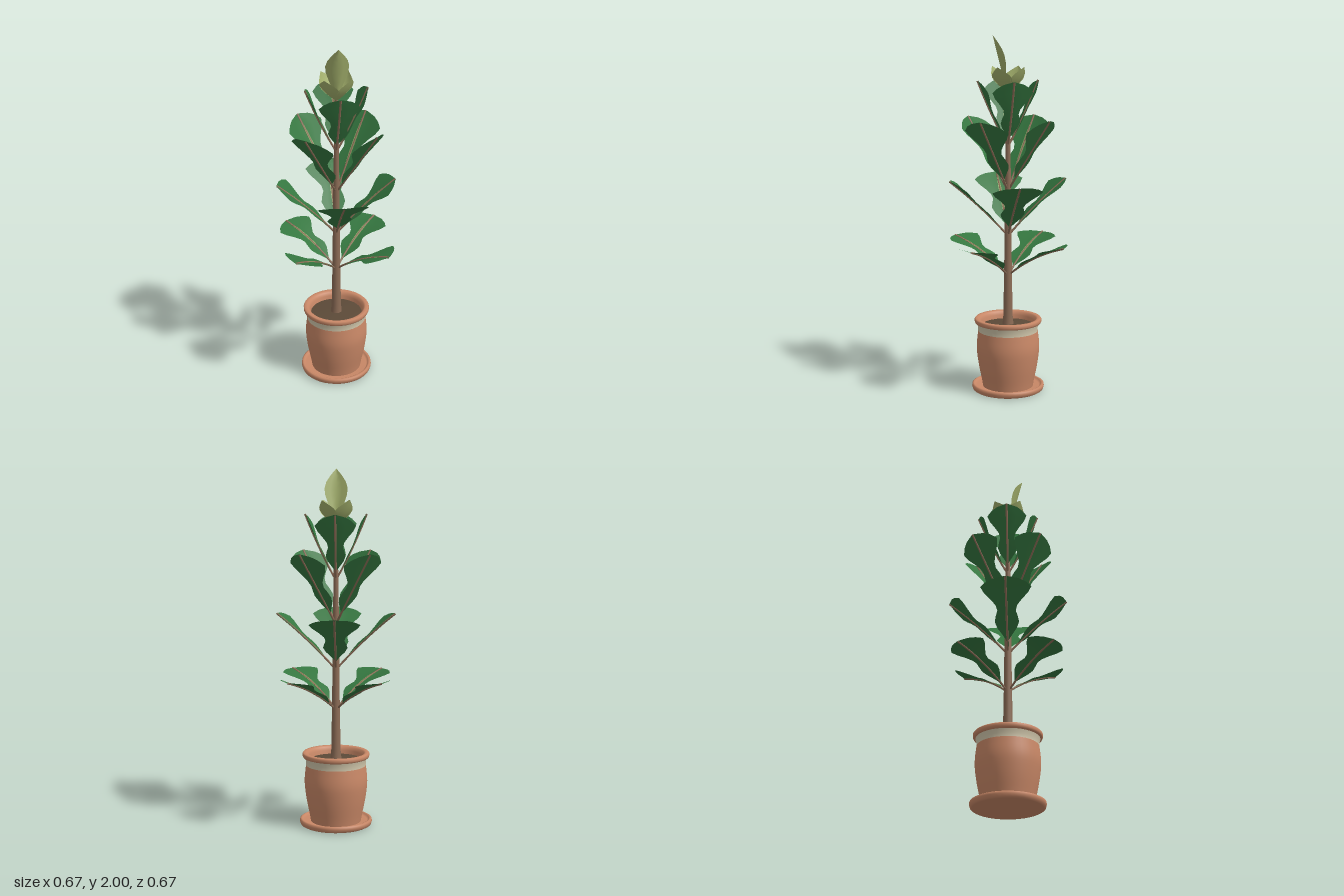
import * as THREE from 'three';

const mat = (name, color, side = THREE.FrontSide) => {
  const m = new THREE.MeshStandardMaterial({ color, side });
  m.name = name;
  return m;
};

// Outlines as [position along leaf, half width]
const FIDDLE = [[0, 0.04], [0.15, 0.05], [0.22, 0.2], [0.3, 0.38], [0.38, 0.48], [0.46, 0.43], [0.53, 0.36],
  [0.6, 0.42], [0.68, 0.62], [0.76, 0.86], [0.84, 1], [0.91, 0.78], [0.96, 0.5], [1, 0.05]];
const OVAL = [[0, 0.1], [0.15, 0.3], [0.35, 0.65], [0.52, 0.93], [0.64, 1], [0.76, 0.84], [0.88, 0.48], [1, 0.02]];
const VEIN = [[0.18, 0.15], [0.3, 0.5], [0.45, 0.85], [0.6, 1], [0.75, 0.9], [0.9, 0.5], [0.99, 0.05]];

// Blade swept along a spine of [radius, height] points, pointing towards +z
function bladeGeometry(spine, outline, halfWidth, cup, lift = 0) {
  const curve = new THREE.QuadraticBezierCurve(...spine.map(p => new THREE.Vector2(...p)));
  const across = [-1, -0.5, 0, 0.5, 1];
  const pos = [], index = [], n = across.length;
  outline.forEach(([t, w], i) => {
    const p = curve.getPoint(t), d = curve.getTangent(t);
    for (const s of across) {
      const x = s * w * halfWidth;
      const up = Math.abs(x) * cup + lift;
      pos.push(x, p.y + d.x * up, p.x - d.y * up);
    }
    if (i === 0) return;
    for (let j = 0; j < n - 1; j++) {
      const a = (i - 1) * n + j, b = a + n;
      index.push(a, b, a + 1, b, b + 1, a + 1);
    }
  });
  const g = new THREE.BufferGeometry();
  g.setAttribute('position', new THREE.Float32BufferAttribute(pos, 3));
  g.setIndex(index);
  g.computeVertexNormals();
  return g;
}

export function createModel() {
  const root = new THREE.Group();
  root.name = 'pottedPlant';
  const terracotta = mat('terracotta', 0xc98867);
  const cream = mat('creamBand', 0xd2c8ac);
  const soilMat = mat('soil', 0x5c4a38);
  const bark = mat('bark', 0x8c6c56);
  const green = mat('leafGreen', 0x357740, THREE.DoubleSide);
  const pale = mat('leafVein', 0x8fa565, THREE.DoubleSide);
  const olive = mat('youngLeaf', 0xa3b06c, THREE.DoubleSide);

  const add = (name, geometry, material, parent = root) => {
    const m = new THREE.Mesh(geometry, material);
    m.name = name;
    parent.add(m);
    return m;
  };
  const lathe = (pts, seg = 40) => new THREE.LatheGeometry(pts.map(p => new THREE.Vector2(...p)), seg);

  // Saucer
  add('saucer', lathe([[0, 0], [0.19, 0], [0.2, 0.006], [0.205, 0.022], [0.203, 0.034], [0.195, 0.038],
    [0.186, 0.034], [0.178, 0.022], [0, 0.02]]), terracotta);

  // Pot body, painted band and rolled rim
  const body = new THREE.SplineCurve([[0.142, 0.02], [0.149, 0.06], [0.165, 0.14], [0.176, 0.22], [0.177, 0.27],
    [0.172, 0.32], [0.169, 0.345]].map(p => new THREE.Vector2(...p)));
  add('potBody', new THREE.LatheGeometry(body.getPoints(18), 40), terracotta);
  add('potBand', lathe([[0.169, 0.345], [0.169, 0.365], [0.175, 0.388]]), cream);
  add('potRim', lathe([[0.175, 0.388], [0.185, 0.391], [0.189, 0.4], [0.189, 0.412], [0.184, 0.418],
    [0.168, 0.418], [0.158, 0.412], [0.15, 0.395], [0.145, 0.36]]), terracotta);
  const soil = add('soil', lathe([[0.15, 0.374], [0.09, 0.38], [0, 0.384]]), soilMat);
  soil.material.side = THREE.DoubleSide;

  // Trunk
  add('trunk', lathe([[0.033, 0.37], [0.027, 0.43], [0.022, 0.7], [0.018, 1.1], [0.013, 1.45], [0.009, 1.74],
    [0, 1.75]], 14), bark);

  // Four tiers of four leaves, every other tier turned by 45 degrees
  const tiers = [
    { turn: 0.5, spine: [[0.01, 0.67], [0.17, 0.8], [0.365, 0.855]], width: 0.13 },
    { turn: 0, spine: [[0.01, 0.9], [0.16, 1.07], [0.33, 1.205]], width: 0.14 },
    { turn: 0.5, spine: [[0.01, 1.16], [0.13, 1.34], [0.27, 1.545]], width: 0.14 },
    { turn: 0, spine: [[0.005, 1.4], [0.09, 1.55], [0.17, 1.755]], width: 0.112 },
  ];
  tiers.forEach(({ turn, spine, width }, k) => {
    const tier = new THREE.Group();
    tier.name = `leafTier${k + 1}`;
    const blade = bladeGeometry(spine, FIDDLE, width, 0.12);
    const vein = bladeGeometry(spine, VEIN, 0.009, 0.12, 0.003);
    const stalk = new THREE.TubeGeometry(new THREE.QuadraticBezierCurve3(
      ...spine.map(([r, y]) => new THREE.Vector3(0, y, r))), 12, 0.006, 6);
    // Keep only the stalk's first quarter, below the blade
    stalk.setDrawRange(0, 3 * 6 * 6);
    for (let i = 0; i < 4; i++) {
      const leaf = new THREE.Group();
      leaf.name = 'leaf';
      leaf.rotation.y = (i + turn) * Math.PI / 2;
      add('leafBlade', blade, green, leaf);
      add('leafMidrib', vein, pale, leaf);
      add('leafStalk', stalk, bark, leaf);
      tier.add(leaf);
    }
    root.add(tier);
  });

  // Young leaves cupped around the growing tip
  const young = bladeGeometry([[0.004, 1.69], [0.07, 1.73], [0.105, 1.83]], OVAL, 0.065, 0.25);
  for (let i = 0; i < 4; i++) {
    add('youngLeaf', young, olive).rotation.y = (i + 0.5) * Math.PI / 2;
  }
  add('topLeaf', bladeGeometry([[0.01, 1.7], [0.045, 1.84], [0.085, 2]], OVAL, 0.064, 0.4), olive);

  return root;
}
